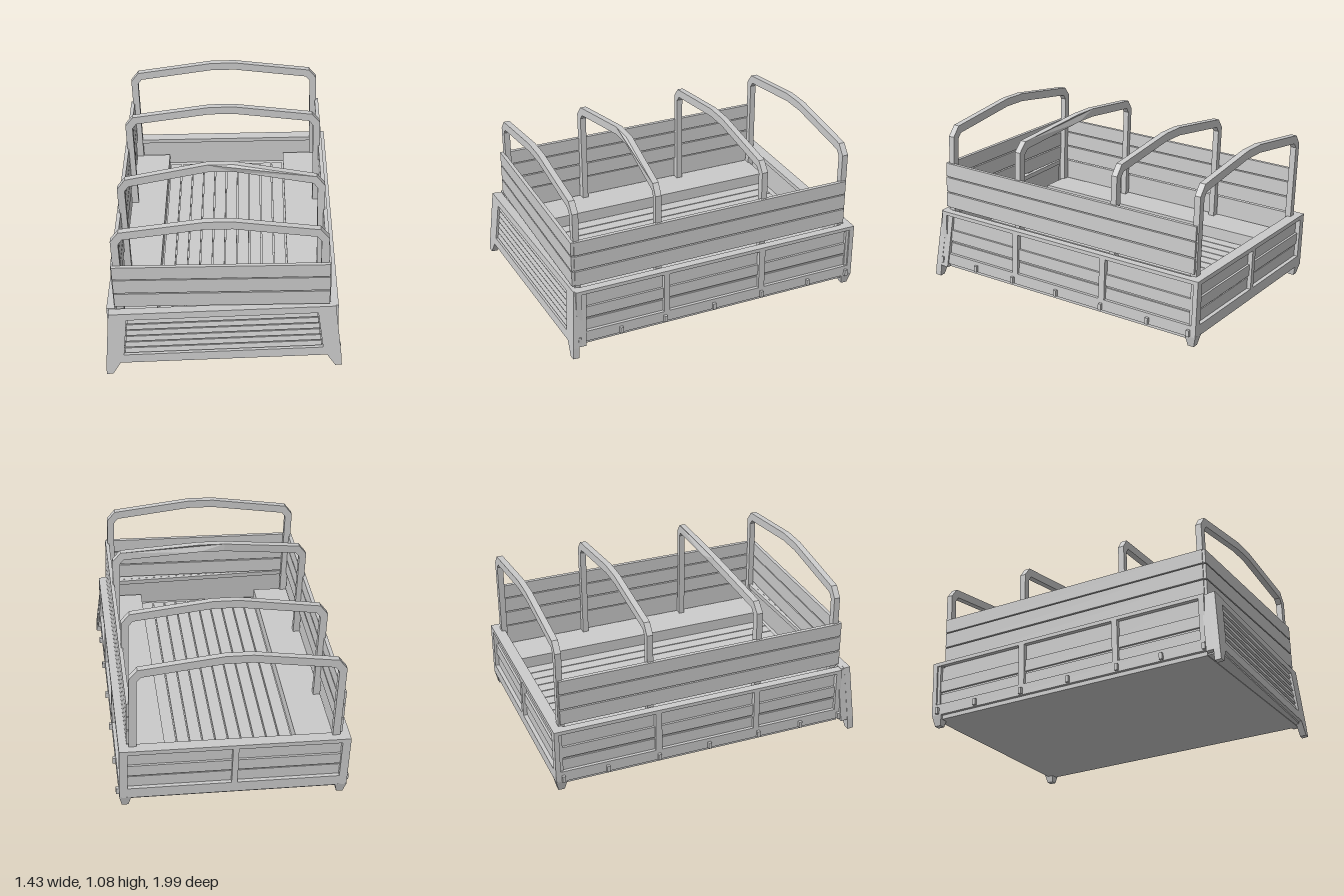
import * as THREE from 'three';

const mat = new THREE.MeshStandardMaterial({ color: 0xcccccc, flatShading: true });

function add(parent, geo, name, x = 0, y = 0, z = 0) {
  const m = new THREE.Mesh(geo, mat);
  m.name = name;
  m.position.set(x, y, z);
  parent.add(m);
  return m;
}

// Box given by its lower and upper limits
function box(parent, name, x0, x1, y0, y1, z0, z1) {
  return add(parent, new THREE.BoxGeometry(x1 - x0, y1 - y0, z1 - z0), name,
    (x0 + x1) / 2, (y0 + y1) / 2, (z0 + z1) / 2);
}

function outline(points, Type = THREE.Shape) {
  return new Type(points.map(p => new THREE.Vector2(p[0], p[1])));
}

// Plate whose front face lies at z = 0
function plate(parent, name, points, holes, depth) {
  const shape = outline(points);
  for (const h of holes) shape.holes.push(outline(h, THREE.Path));
  const geo = new THREE.ExtrudeGeometry(shape, { depth, bevelEnabled: false });
  geo.translate(0, 0, -depth);
  return add(parent, geo, name);
}

// Framed wall facing +z, with recessed bays (pairs of limits) and a raised middle board
function framedWall(name, x0, x1, bays) {
  const g = new THREE.Group();
  g.name = name;
  const y0 = 0.115, y1 = 0.468;
  const holes = bays.map(([a, b]) => [[a, 0.185], [a, 0.445], [b, 0.445], [b, 0.185]]);
  plate(g, 'wallFrame', [[x0, y0], [x1, y0], [x1, y1], [x0, y1]], holes, 0.035);
  box(g, 'wallBacking', x0, x1, y0, y1, -0.05, -0.03);
  for (const [a, b] of bays) box(g, 'wallBoard', a, b, 0.272, 0.345, -0.04, -0.016);
  return g;
}

// Slatted front gate, wider at the bottom, with feet at its corners
function frontGate() {
  const g = new THREE.Group();
  g.name = 'frontGate';
  plate(g, 'gateFrame',
    [[-0.715, 0.03], [-0.675, 0.03], [-0.625, 0.112], [0.625, 0.112], [0.675, 0.03], [0.715, 0.03],
      [0.712, 0.1], [0.675, 0.472], [-0.675, 0.472], [-0.712, 0.1]],
    [[[-0.6, 0.17], [-0.57, 0.427], [0.57, 0.427], [0.6, 0.17]]], 0.04);
  plate(g, 'gateBacking', [[-0.64, 0.12], [0.64, 0.12], [0.62, 0.46], [-0.62, 0.46]], [], 0.01)
    .position.z = -0.037;
  for (let i = 0; i < 6; i++) {
    const y = 0.192 + i * 0.043, w = 0.592 - i * 0.005;
    box(g, 'gateSlat', -w, w, y - 0.016, y + 0.016, -0.04, -0.012).rotation.x = -0.2;
  }
  // Top cap, bottom sill and flared ends that close onto the bed
  box(g, 'gateCap', -0.67, 0.67, 0.44, 0.471, -0.06, -0.005);
  box(g, 'gateSill', -0.66, 0.66, 0.1, 0.15, -0.1, -0.02);
  for (const s of [-1, 1])
    box(g, 'gateEnd', s * 0.677 - 0.015, s * 0.677 + 0.015, 0.1, 0.468, -0.085, -0.02)
      .rotation.z = s * 0.09;
  g.position.z = 0.972;
  g.rotation.set(-0.075, 0.04, 0);
  return g;
}

// Canopy hoop; sag pulls the middle of the roof bar towards the back
function hoop(parent, z, sag) {
  const outer = [[0.63, 0.2], [0.63, 0.955], [0.58, 1.018], [0.08, 1.085]];
  const inner = [[0.08, 1.033], [0.56, 0.968], [0.585, 0.935], [0.585, 0.2]];
  const mirror = pts => pts.map(([x, y]) => [-x, y]).reverse();
  const shape = outline([...outer, ...mirror(outer), ...mirror(inner), ...inner]);
  const geo = new THREE.ExtrudeGeometry(shape, { depth: 0.038, bevelEnabled: false });
  const p = geo.attributes.position;
  for (let i = 0; i < p.count; i++)
    p.setZ(i, p.getZ(i) - 0.019 - sag * Math.max(0, 1 - Math.abs(p.getX(i)) / 0.63));
  geo.computeVertexNormals();
  add(parent, geo, 'canopyHoop', 0, 0, z);
}

export function createModel() {
  const root = new THREE.Group();
  root.name = 'cargoBed';
  const bed = new THREE.Group();
  bed.name = 'tiltedBed';
  bed.position.y = -0.015;
  bed.rotation.set(-0.014, 0, 0.031);
  root.add(bed);

  // Floor with planks along its length
  box(bed, 'floor', -0.67, 0.67, 0.09, 0.258, -0.96, 0.895);
  for (let i = 0; i < 10; i++) {
    const x = -0.355 + i * 0.079;
    box(bed, 'floorPlank', x - 0.036, x + 0.036, 0.25, 0.272, -0.89, 0.86);
  }

  // Walls
  bed.add(frontGate());
  const back = framedWall('backWall', -0.68, 0.68, [[-0.64, -0.018], [0.018, 0.64]]);
  back.position.z = -0.985;
  back.rotation.y = Math.PI;
  bed.add(back);
  box(bed, 'backTopRail', -0.67, 0.67, 0.44, 0.468, -0.985, -0.915);

  const slats = [[0.485, 0.58], [0.588, 0.683], [0.69, 0.778]];
  const sideBays = [[-0.865, -0.335], [-0.298, 0.31], [0.35, 0.955]];
  for (const s of [-1, 1]) {
    const bays = s > 0 ? sideBays : sideBays.map(([a, b]) => [-b, -a]);
    const ends = s > 0 ? [-0.9, 0.985] : [-0.985, 0.9];
    const side = framedWall('sideWall', ends[0], ends[1], bays);
    side.position.x = s * 0.69;
    side.rotation.y = s * Math.PI / 2;
    bed.add(side);

    // Bench along the side
    box(bed, 'bench', s * 0.515 - 0.115, s * 0.515 + 0.115, 0.25, 0.343, -0.91, 0.86);

    // Slats above the side wall
    for (const [lo, hi] of slats)
      box(bed, 'sideSlat', s * 0.632 - 0.012, s * 0.632 + 0.012, lo, hi, -0.93, 0.885);

    // Tapered foot under the back corner
    const foot = add(bed, new THREE.CylinderGeometry(0.05, 0.028, 0.07, 4, 1), 'cornerFoot',
      s * 0.655, 0.085, -0.95);
    foot.geometry.rotateY(Math.PI / 4);

    // Latches along the lower edge
    for (const z of [0.89, 0.62, 0.33, 0, -0.33, -0.66, -0.94])
      box(bed, 'latch', s * 0.695 - 0.013, s * 0.695 + 0.013, 0.12, 0.16, z - 0.01, z + 0.01);
  }
  for (const [lo, hi] of slats) box(bed, 'frontSlat', -0.638, 0.638, lo, hi, 0.88, 0.903);

  // Canopy hoops
  for (const [z, sag] of [[0.865, 0], [0.345, 0.06], [-0.36, 0], [-0.92, 0]]) hoop(bed, z, sag);

  return root;
}
